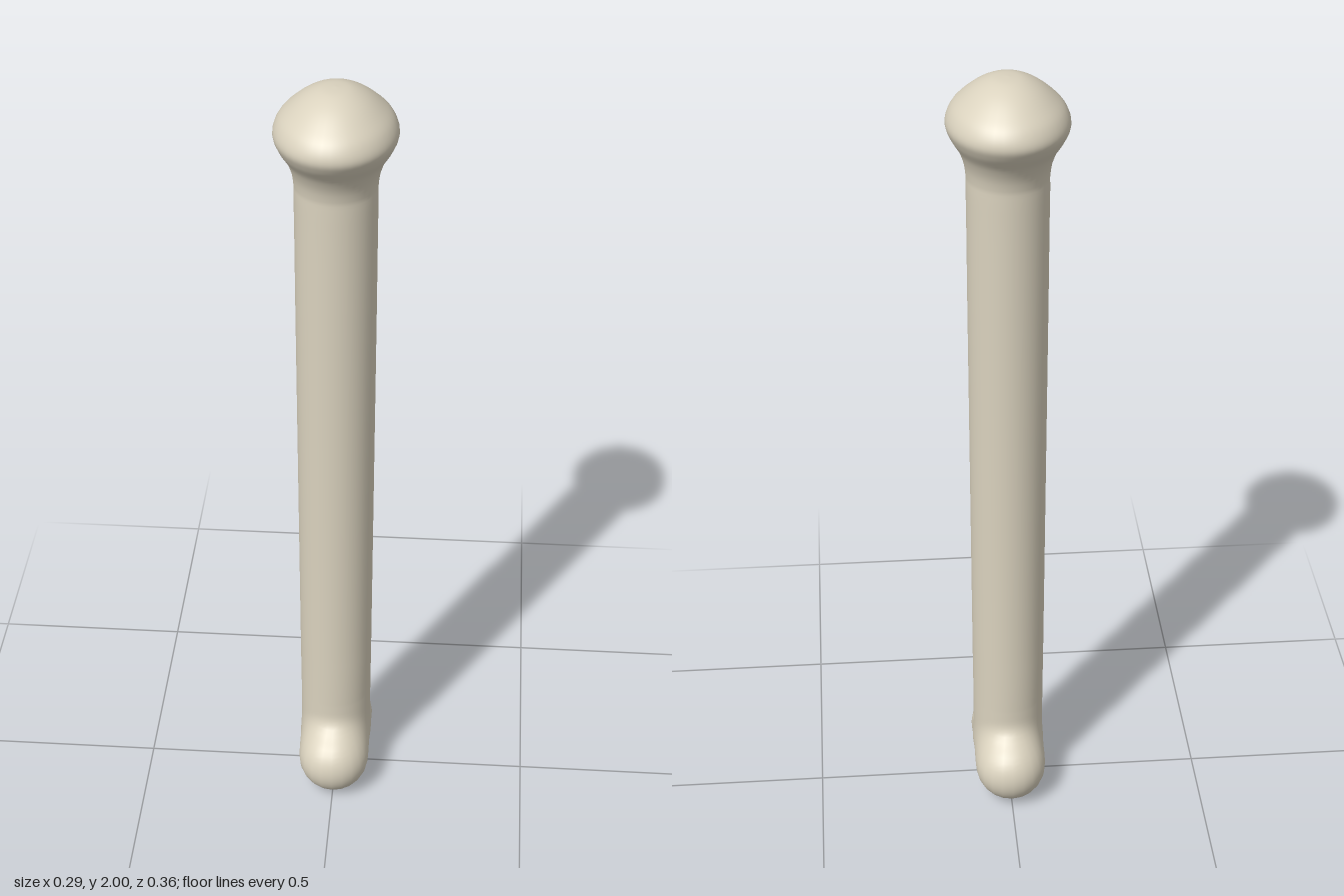
import * as THREE from 'three';

const SIDES = 40;

// Blend two distances with a soft crease
const softMin = (a, b, k) => Math.min(a, b) - (Math.max(k - Math.abs(a - b), 0) ** 2) / (4 * k);

// Distance to the lower end: the shaft blended with two round knuckles
function footDistance(x, y, z) {
  const shaft = Math.hypot(x, Math.min(y - 0.125, 0), z) - 0.091;
  const knuckle = (s) => Math.hypot(x, y - 0.091, z - s * 0.09) - 0.091;
  return softMin(softMin(knuckle(1), knuckle(-1), 0.05), shaft, 0.05);
}

// Walk inwards along a ray from the axis until it meets the lower end
function footPoint(originY, dx, dy, dz) {
  let t = 0.4;
  for (let i = 0; i < 60; i++) t -= footDistance(dx * t, originY + dy * t, dz * t);
  return [dx * t, originY + dy * t, dz * t];
}

// Join closed rings, ordered from bottom to top, into one smooth skin
function skin(rings) {
  const last = rings.length - 1;
  const id = (i, j) => i * SIDES + (i === 0 || i === last ? 0 : j % SIDES);
  const index = [];
  for (let i = 0; i < last; i++) {
    for (let j = 0; j < SIDES; j++) {
      const a = id(i, j), b = id(i, j + 1), c = id(i + 1, j), d = id(i + 1, j + 1);
      if (a !== b) index.push(a, c, b);
      if (c !== d) index.push(b, c, d);
    }
  }
  const geometry = new THREE.BufferGeometry();
  geometry.setAttribute('position', new THREE.Float32BufferAttribute(rings.flat(2), 3));
  geometry.setIndex(index);
  geometry.computeVertexNormals();
  return geometry;
}

export function createModel() {
  const model = new THREE.Group();
  model.name = 'bone';
  const ivory = new THREE.MeshStandardMaterial({ color: 0xdad2be });
  ivory.name = 'ivory';

  const rings = [];
  const addRing = (point) => rings.push(Array.from({ length: SIDES }, (_, j) => {
    const a = (j / SIDES) * Math.PI * 2;
    return point(Math.cos(a), Math.sin(a));
  }));

  // Underside of the knuckles, fanned out from a point on the axis
  const centreY = 0.115;
  for (let i = 0; i < 24; i++) {
    const tilt = (i / 24) * Math.PI / 2;
    const s = Math.sin(tilt);
    addRing((c, d) => footPoint(centreY, c * s, -Math.cos(tilt), d * s));
  }
  // Top of the knuckles running into the shaft
  for (let i = 0; i <= 14; i++) {
    const y = centreY + i * 0.011;
    addRing((c, d) => footPoint(y, c, 0, d));
  }

  // Shaft, flared neck and domed oval head: half width in z against height
  const profile = new THREE.SplineCurve([
    [0.092, 0.4], [0.094, 0.9], [0.096, 1.4], [0.097, 1.7], [0.1, 1.77], [0.12, 1.82],
    [0.153, 1.862], [0.166, 1.892], [0.153, 1.925], [0.122, 1.954], [0.083, 1.98], [0.042, 1.996], [0, 2],
  ].map(([r, y]) => new THREE.Vector2(r, y)));
  for (const p of profile.getPoints(72)) {
    const narrow = 1 - 0.14 * THREE.MathUtils.smoothstep(p.y, 1.73, 1.89);
    const r = Math.max(p.x, 0);
    addRing((c, d) => [c * r * narrow, p.y, d * r]);
  }

  const bone = new THREE.Mesh(skin(rings), ivory);
  bone.name = 'boneShaftWithHeadAndKnuckles';
  model.add(bone);
  return model;
}
